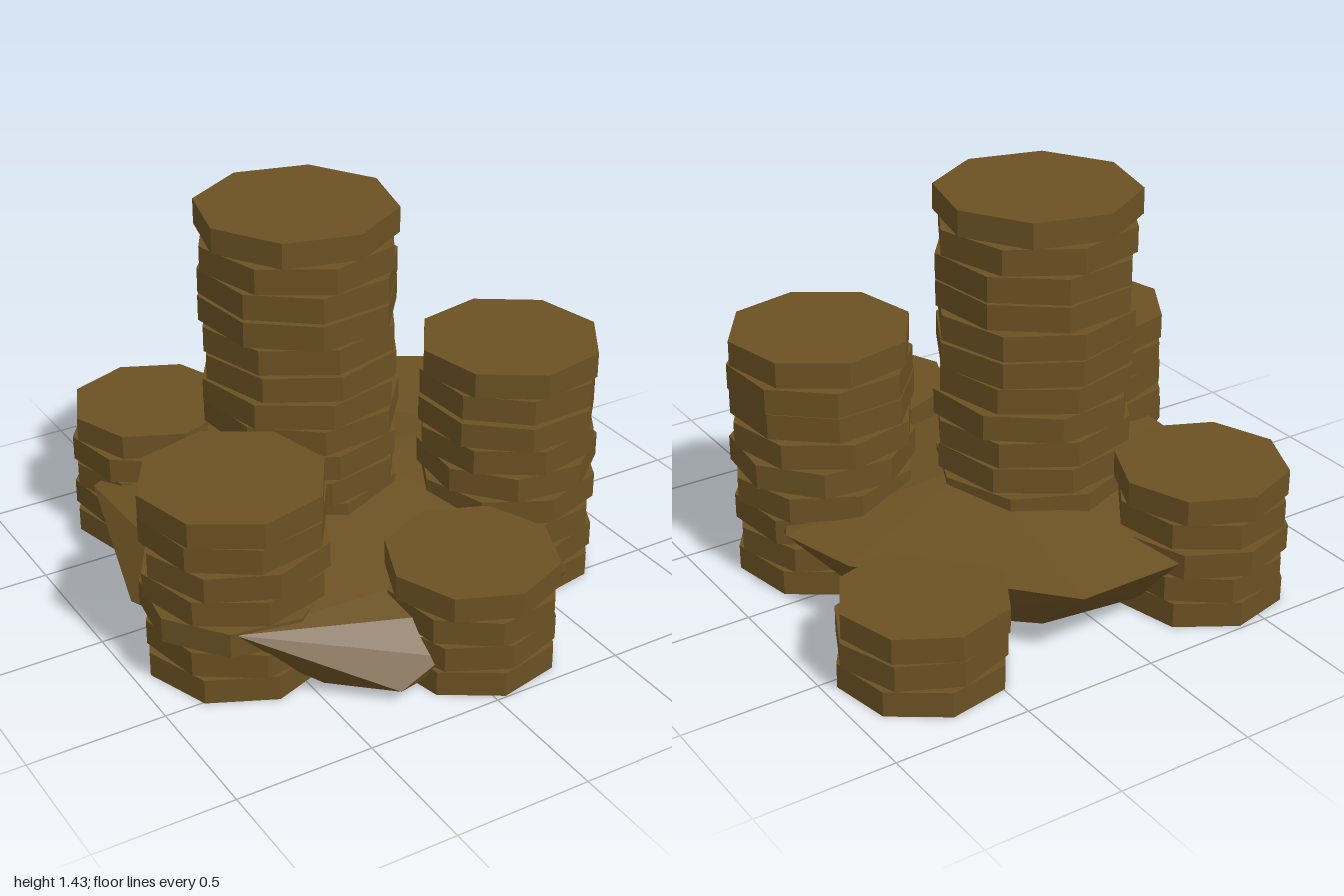
import * as THREE from 'three';
import { ConvexGeometry } from 'three/addons/geometries/ConvexGeometry.js';

const PITCH = 0.1025, THICK = 0.093;

// small seeded generator for the uneven stacking
function seeded(seed) {
  let s = seed;
  return () => ((s = (s * 16807) % 2147483647) / 2147483647);
}

// one stack of eight-sided coins; turns are in degrees, bottom coin first
function makeStack(name, x, z, radius, turns, material, rand) {
  const stack = new THREE.Group();
  stack.name = name;
  const geometry = new THREE.CylinderGeometry(radius, radius, THICK, 8);
  turns.forEach((turn, i) => {
    const coin = new THREE.Mesh(geometry, material);
    coin.name = 'coin';
    coin.position.set(
      x + (rand() - 0.5) * 0.016, THICK / 2 + i * PITCH, z + (rand() - 0.5) * 0.016);
    coin.rotation.y = -THREE.MathUtils.degToRad(turn);
    stack.add(coin);
  });
  return stack;
}

export function createModel() {
  const model = new THREE.Group();
  model.name = 'coinPile';
  const gold = new THREE.MeshStandardMaterial({ color: 0x6b5123, flatShading: true });
  gold.name = 'dull gold';
  const rand = seeded(77);

  // coin stacks
  const stacks = [
    ['centreStack', -0.1, -0.15, 0.363, [5, 14, 9, 2, 12, 8, 17, 10, 6, 7, 16, 16, 8, 37]],
    ['leftStack', 0.55, 0.24, 0.333, [12, 4, 16, 5, 28, 10, 19, 19, 11]],
    ['rightStack', -0.61, 0.29, 0.333, [3, 12, 31, 8, 2, 12, 9]],
    ['backRightStack', -0.45, -0.69, 0.308, [9, 16, 4, 12, 2]],
    ['frontStack', 0.09, 0.69, 0.308, [10, 4, 14, 0]],
    ['backLeftStack', 0.655, -0.6, 0.3, [12, 3, 7]],
  ];
  for (const [name, x, z, r, turns] of stacks) {
    model.add(makeStack(name, x, z, r, turns, gold, rand));
  }

  // faceted mound filling the space between the stacks
  const corners = [
    // underside
    [-0.29, 0.05, 0.85], [-0.48, 0.04, 0.66], [0.36, 0.04, 0.7], [0.62, 0.06, 0.55],
    [0.62, 0.04, -0.04], [0.6, 0.05, -0.31], [0.2, 0.04, -0.65], [-0.22, 0.04, -0.7],
    [-0.66, 0.04, -0.4], [-0.7, 0.04, 0.1],
    // rim
    [-0.12, 0.13, 0.85], [-0.14, 0.25, 0.76], [-0.77, 0.29, 0.58], [0.37, 0.2, 0.75],
    [0.38, 0.29, 0.64], [0.47, 0.28, 0.62], [0.84, 0.28, 0], [0.76, 0.28, -0.3],
    [0.22, 0.28, -0.91], [-0.22, 0.26, -0.88], [-0.75, 0.27, -0.58],
    [-0.88, 0.13, 0], [-0.76, 0.3, 0],
    // crown
    [-0.18, 0.4, -0.1], [0.12, 0.4, -0.1],
  ].map((p) => new THREE.Vector3(...p));
  const mound = new THREE.Mesh(new ConvexGeometry(corners), gold);
  mound.name = 'mound';
  model.add(mound);

  return model;
}
